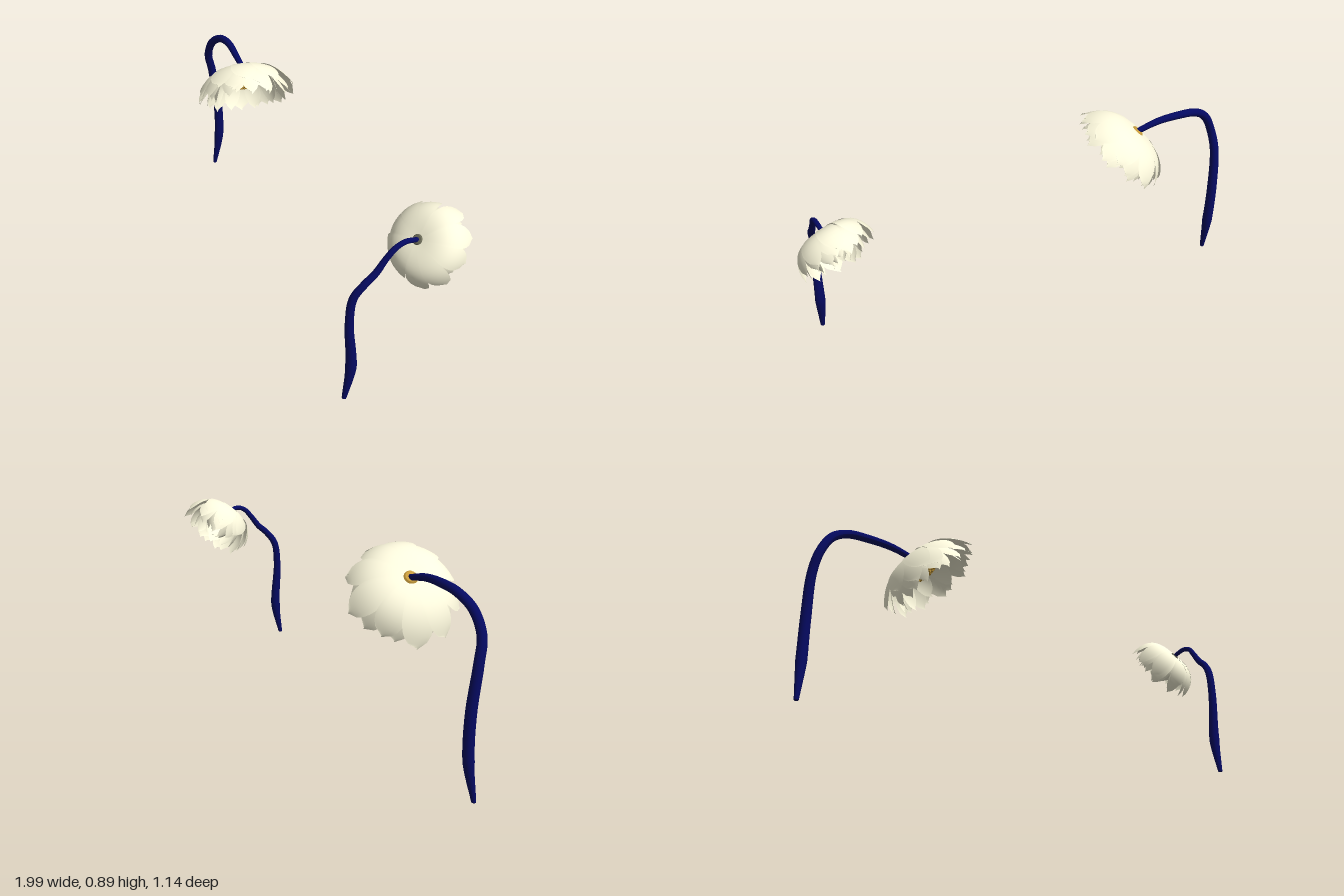
import * as THREE from 'three';
import { mergeGeometries } from 'three/addons/utils/BufferGeometryUtils.js';

const stemMat = new THREE.MeshStandardMaterial({ color: 0x050a62 });
const petalMat = new THREE.MeshStandardMaterial({ color: 0xfffbdf, side: THREE.DoubleSide });
const stamenMat = new THREE.MeshStandardMaterial({ color: 0xc89c3c });
const calyxMat = new THREE.MeshStandardMaterial({ color: 0x6b6a58 });

function seeded(seed) {
  return () => (seed = (seed * 16807) % 2147483647) / 2147483647;
}

function part(geometry, material, name) {
  const mesh = new THREE.Mesh(geometry, material);
  mesh.name = name;
  return mesh;
}

// Tapering stem: rows are [x, y, z, radius]
function makeStem(rows) {
  const curve = new THREE.CatmullRomCurve3(rows.map(([x, y, z]) => new THREE.Vector3(x, y, z)));
  const segs = 72, sides = 14;
  const geo = new THREE.TubeGeometry(curve, segs, 1, sides, false);
  const pos = geo.attributes.position, v = new THREE.Vector3();
  for (let i = 0; i <= segs; i++) {
    const t = curve.getUtoTmapping(i / segs);
    const centre = curve.getPoint(t);
    const f = t * (rows.length - 1), k = Math.min(Math.floor(f), rows.length - 2);
    const radius = THREE.MathUtils.lerp(rows[k][3], rows[k + 1][3], f - k);
    for (let j = 0; j <= sides; j++) {
      const n = i * (sides + 1) + j;
      v.fromBufferAttribute(pos, n).sub(centre).multiplyScalar(radius).add(centre);
      pos.setXYZ(n, v.x, v.y, v.z);
    }
  }
  geo.computeVertexNormals();
  const stem = new THREE.Group();
  stem.name = 'stem';
  const foot = new THREE.SphereGeometry(rows[0][3], 12, 8);
  foot.scale(1, 0.5, 1);
  foot.translate(rows[0][0], rows[0][1], rows[0][2]);
  stem.add(part(geo, stemMat, 'stalk'), part(foot, stemMat, 'stemFoot'));
  return stem;
}

// One petal: a patch that follows a bent profile (r, h) and wraps round the axis
function makePetal(start, ctrl, end, width, tilt) {
  const geo = new THREE.PlaneGeometry(2, 1, 8, 12);
  const profile = new THREE.QuadraticBezierCurve(start, ctrl, end);
  const pos = geo.attributes.position;
  for (let i = 0; i < pos.count; i++) {
    const s = pos.getX(i), t = pos.getY(i) + 0.5;
    const p = profile.getPoint(t);
    const w = width * (0.16 + 0.84 * Math.pow(t, 0.75)) * Math.pow(1 - Math.pow(t, 4), 0.7);
    const phi = (s * w) / (p.x + 0.08);
    pos.setXYZ(i, p.x * Math.cos(phi), p.y + tilt * s * t, p.x * Math.sin(phi));
  }
  geo.computeVertexNormals();
  return geo;
}

// Flower head with +y as its opening direction and unit outer radius
function makeHead(layers, domeRadius, domeHeight, collarMat, seed) {
  const rand = seeded(seed);
  const head = new THREE.Group();
  head.name = 'flowerHead';
  layers.forEach(({ count, base, ctrl, tip, width }, k) => {
    const petals = [];
    for (let i = 0; i < count; i++) {
      const stretch = 0.95 + 0.1 * rand();
      const lift = 0.06 * (rand() - 0.5);
      const petal = makePetal(
        new THREE.Vector2(base[0], base[1]),
        new THREE.Vector2(ctrl[0], ctrl[1]),
        new THREE.Vector2(tip[0] * stretch, tip[1] * stretch + lift),
        width * (0.92 + 0.16 * rand()), 0.025);
      petal.rotateY(((i + 0.5 * (k % 2) + 0.2 * (rand() - 0.5)) / count) * Math.PI * 2);
      petals.push(petal);
    }
    head.add(part(mergeGeometries(petals), petalMat, 'petalRing' + (k + 1)));
  });

  // Half dome of stamens, studded with small beads, inside the petals
  const floor = 0.14;
  const dome = new THREE.SphereGeometry(domeRadius, 24, 8, 0, Math.PI * 2, 0, Math.PI / 2);
  dome.scale(1, domeHeight / domeRadius, 1);
  dome.translate(0, floor, 0);
  dome.computeVertexNormals();
  head.add(part(dome, stamenMat, 'flowerCentre'));
  const beads = [];
  const total = 220;
  for (let i = 0; i < total; i++) {
    const y = 1 - (i + 0.5) / total, a = i * 2.39996, r = Math.sqrt(1 - y * y);
    const bead = new THREE.IcosahedronGeometry(0.028, 0);
    bead.translate(r * Math.cos(a) * domeRadius, floor + y * domeHeight, r * Math.sin(a) * domeRadius);
    beads.push(bead);
  }
  head.add(part(mergeGeometries(beads), stamenMat, 'stamens'));

  // Collar where the stem meets the bloom
  const collar = new THREE.CylinderGeometry(0.15, 0.1, 0.06, 16);
  head.add(part(collar, collarMat, 'collar'));
  return head;
}

function makeFlower(name, rows, axis, size, head) {
  const flower = new THREE.Group();
  flower.name = name;
  const end = rows[rows.length - 1];
  head.position.set(end[0], end[1], end[2]);
  head.quaternion.setFromUnitVectors(new THREE.Vector3(0, 1, 0), new THREE.Vector3(...axis).normalize());
  head.scale.setScalar(size);
  flower.add(makeStem(rows), head);
  return flower;
}

export function createModel() {
  const model = new THREE.Group();
  model.name = 'droopingFlowers';

  // Larger, wide-open flower
  const openLayers = [
    { count: 10, base: [0.1, 0], ctrl: [0.74, -0.04], tip: [1.0, 0.54], width: 0.44 },
    { count: 10, base: [0.1, 0.03], ctrl: [0.7, 0.02], tip: [0.91, 0.62], width: 0.4 },
    { count: 9, base: [0.1, 0.05], ctrl: [0.66, 0.06], tip: [0.8, 0.68], width: 0.36 },
    { count: 9, base: [0.1, 0.07], ctrl: [0.62, 0.08], tip: [0.66, 0.68], width: 0.31 },
  ];
  model.add(makeFlower('openFlower', [
    [-0.988, 0.02, -0.523, 0.01],
    [-0.966, 0.2, -0.543, 0.024],
    [-0.966, 0.4, -0.545, 0.023],
    [-0.978, 0.6, -0.525, 0.021],
    [-0.972, 0.7, -0.497, 0.02],
    [-0.925, 0.79, -0.48, 0.02],
    [-0.85, 0.838, -0.463, 0.019],
    [-0.76, 0.848, -0.425, 0.018],
    [-0.67, 0.835, -0.37, 0.016],
    [-0.58, 0.805, -0.32, 0.013],
  ], [0.5, -0.74, 0.43], 0.243, makeHead(openLayers, 0.41, 0.27, stamenMat, 11)));

  // Smaller, more cupped flower
  const cupLayers = [
    { count: 10, base: [0.1, 0], ctrl: [0.96, -0.08], tip: [0.98, 0.74], width: 0.44 },
    { count: 9, base: [0.1, 0.03], ctrl: [0.88, 0.02], tip: [0.82, 0.82], width: 0.42 },
    { count: 8, base: [0.1, 0.05], ctrl: [0.8, 0.08], tip: [0.56, 0.86], width: 0.4 },
    { count: 7, base: [0.1, 0.07], ctrl: [0.74, 0.12], tip: [0.2, 0.82], width: 0.36 },
  ];
  model.add(makeFlower('cuppedFlower', [
    [0.682, 0.007, 0.558, 0.01],
    [0.695, 0.17, 0.536, 0.024],
    [0.686, 0.4, 0.546, 0.018],
    [0.693, 0.52, 0.535, 0.017],
    [0.72, 0.58, 0.505, 0.016],
    [0.745, 0.625, 0.465, 0.015],
    [0.765, 0.68, 0.43, 0.013],
    [0.785, 0.722, 0.4, 0.012],
    [0.802, 0.738, 0.36, 0.011],
    [0.822, 0.725, 0.3, 0.01],
  ], [0.06, -0.61, -0.79], 0.178, makeHead(cupLayers, 0.3, 0.2, calyxMat, 29)));

  return model;
}
